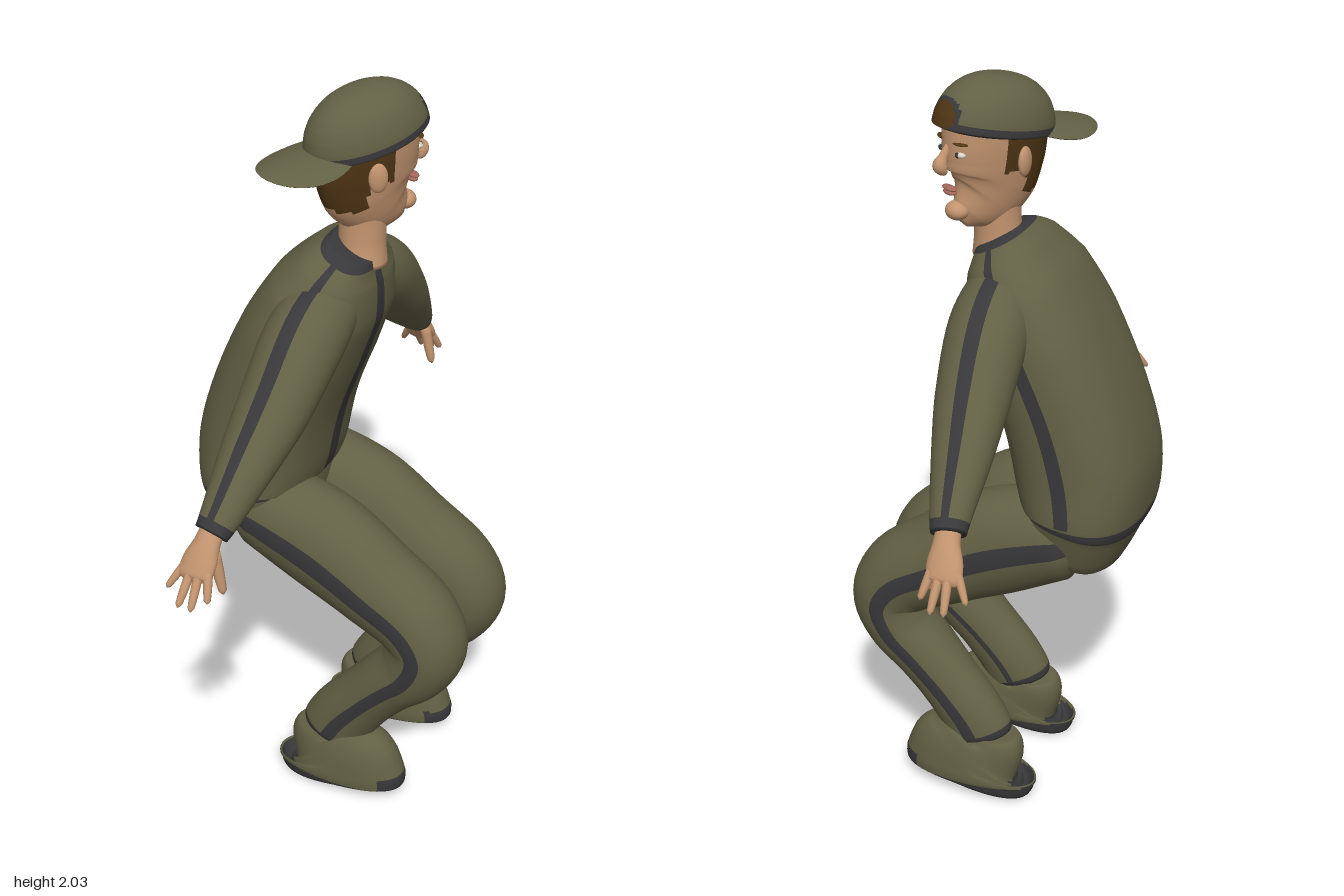
import * as THREE from 'three';

const mat = (name, color) => {
  const m = new THREE.MeshStandardMaterial({ color });
  m.name = name;
  return m;
};

export function createModel() {
  const model = new THREE.Group();
  const cloth = mat('olive cloth', 0x626044);
  const trim = mat('dark trim', 0x38383a);
  const skin = mat('skin', 0xc2946f);
  const hair = mat('brown hair', 0x503615);
  const white = mat('eye white', 0xd8d2c8);
  const lip = mat('lips', 0xa3685a);

  // Skin a tube through sections [x, y, z, ru, rv]. V follows ref, U = path x V.
  // paint(k, a, p) picks the material for a face: k is the section position, a the angle.
  function loft(name, parent, secs, o = {}) {
    const { ref = [0, 0, 1], seg = 32, per = 6, n = 2, paint = () => skin } = o;
    const path = new THREE.CatmullRomCurve3(secs.map(s => new THREE.Vector3(s[0], s[1], s[2])));
    const radii = new THREE.CatmullRomCurve3(secs.map(s => new THREE.Vector3(s[3], s[4], 0)));
    const rows = (secs.length - 1) * per, pts = [], mats = [], faces = [];
    const power = v => Math.sign(v) * Math.abs(v) ** (2 / n);
    for (let i = 0; i <= rows; i++) {
      const t = i / rows, c = path.getPoint(t), r = radii.getPoint(t), T = path.getTangent(t);
      const V = new THREE.Vector3(...ref).addScaledVector(T, -T.dot(new THREE.Vector3(...ref))).normalize();
      const U = T.clone().cross(V);
      for (let j = 0; j < seg; j++) {
        const a = j / seg * Math.PI * 2;
        pts.push(c.clone().addScaledVector(U, Math.max(r.x, 0.001) * power(Math.cos(a)))
          .addScaledVector(V, Math.max(r.y, 0.001) * power(Math.sin(a))));
      }
    }
    pts.push(path.getPoint(0), path.getPoint(1));
    const add = (m, ...ids) => {
      let q = mats.indexOf(m);
      if (q < 0) { q = mats.push(m) - 1; faces.push([]); }
      faces[q].push(...ids);
    };
    for (let i = 0; i < rows; i++) for (let j = 0; j < seg; j++) {
      const b = i * seg + j, d = i * seg + (j + 1) % seg;
      const mid = pts[b].clone().add(pts[d + seg]).multiplyScalar(0.5);
      const m = paint((i + 0.5) / per, (j + 0.5) / seg * Math.PI * 2, mid);
      add(m, b, b + seg, d, d, b + seg, d + seg);
      if (i === 0) add(m, b, d, pts.length - 2);
      if (i === rows - 1) add(m, b + seg, pts.length - 1, d + seg);
    }
    const g = new THREE.BufferGeometry().setFromPoints(pts);
    g.setIndex(faces.flat());
    let start = 0;
    faces.forEach((f, q) => { g.addGroup(start, f.length, q); start += f.length; });
    g.computeVertexNormals();
    const mesh = new THREE.Mesh(g, mats);
    mesh.name = name;
    parent.add(mesh);
    return mesh;
  }
  // Angular distance, used to place seams
  const gap = (a, b) => Math.abs(Math.atan2(Math.sin(a - b), Math.cos(a - b)));
  const H = Math.PI / 2;

  function blob(name, parent, m, [x, y, z], [rx, ry, rz]) {
    const mesh = new THREE.Mesh(new THREE.SphereGeometry(1, 20, 14), m);
    mesh.name = name;
    mesh.position.set(x, y, z);
    mesh.scale.set(rx, ry, rz);
    parent.add(mesh);
    return mesh;
  }

  // Seat and jacket, with hem, zip, side seams and collar
  loft('jacket', model, [
    [-0.19, 0.725, 0, 0.05, 0.1], [-0.215, 0.775, 0, 0.125, 0.195], [-0.232, 0.875, 0, 0.155, 0.228],
    [-0.237, 0.905, 0, 0.163, 0.235], [-0.225, 1.01, 0, 0.175, 0.228], [-0.185, 1.16, 0, 0.168, 0.225],
    [-0.115, 1.33, 0, 0.16, 0.224], [-0.052, 1.46, 0, 0.142, 0.205], [-0.012, 1.545, 0, 0.1, 0.16],
    [0.005, 1.578, 0, 0.072, 0.112], [0.012, 1.592, 0, 0.06, 0.075],
  ], {
    seg: 96, n: 2.5,
    paint: (k, a) => (k > 2.1 && k < 2.9) || k > 9 || (k > 2 && gap(a, 0) < 0.06)
      || (k > 3 && Math.min(gap(a, H), gap(a, -H)) < 0.06) ? trim : cloth,
  });

  for (const s of [1, -1]) {
    const side = s > 0 ? 'left' : 'right';

    // Bent trouser leg with outer and inner seams
    loft(side + 'Leg', model, [
      [-0.28, 0.84, 0.115, 0.06, 0.07], [-0.2, 0.825, 0.118, 0.125, 0.112], [-0.02, 0.76, 0.12, 0.148, 0.117],
      [0.13, 0.675, 0.122, 0.132, 0.115], [0.25, 0.6, 0.126, 0.118, 0.112], [0.288, 0.53, 0.13, 0.108, 0.108],
      [0.26, 0.45, 0.134, 0.1, 0.1], [0.19, 0.375, 0.138, 0.09, 0.09], [0.12, 0.295, 0.142, 0.088, 0.08],
      [0.055, 0.21, 0.145, 0.094, 0.074], [0.025, 0.155, 0.147, 0.097, 0.07], [0.018, 0.135, 0.148, 0.085, 0.06],
    ].map(([x, y, z, u, v]) => [x, y, s * z, u, v]), {
      seg: 64,
      paint: (k, a) => k > 10 || gap(a, s * H) < 0.19 || gap(a, -s * H) < 0.1 ? trim : cloth,
    });

    // Shoe with dark sole and toe cap
    loft(side + 'Shoe', model, [
      [0.05, 0, 0.158, 0.165, 0.07], [0.048, 0.012, 0.158, 0.186, 0.082], [0.047, 0.035, 0.158, 0.193, 0.086],
      [0.042, 0.065, 0.157, 0.182, 0.084], [0.025, 0.095, 0.155, 0.152, 0.079], [0.002, 0.125, 0.15, 0.112, 0.07],
      [0, 0.155, 0.148, 0.08, 0.06],
    ].map(([x, y, z, u, v]) => [x, y, s * z, u, v]), {
      seg: 48, n: 2.2,
      paint: (k, a, p) => p.y < 0.022 || (p.x > 0.18 && p.y < 0.065) ? trim : cloth,
    });

    // Sleeve with a seam along the top and a dark cuff
    loft(side + 'Sleeve', model, [
      [-0.025, 1.475, 0.07, 0.085, 0.09], [-0.032, 1.41, 0.2, 0.1, 0.102], [-0.045, 1.29, 0.335, 0.085, 0.093],
      [-0.062, 1.19, 0.445, 0.066, 0.075], [-0.08, 1.085, 0.56, 0.044, 0.05], [-0.086, 1.062, 0.585, 0.038, 0.044],
    ].map(([x, y, z, u, v]) => [x, y, s * z, u, v]), {
      ref: [1, 0, 0], seg: 64,
      paint: (k, a) => k > 4.2 || gap(a, s > 0 ? 0 : Math.PI) < 0.2 ? trim : cloth,
    });

    // Open hand with spread fingers
    const hand = new THREE.Group();
    hand.name = side + 'Hand';
    model.add(hand);
    const flip = list => list.map(([x, y, z, u, v]) => [x, y, s * z, u, v]);
    loft('palm', hand, flip([
      [-0.084, 1.08, 0.57, 0.026, 0.03], [-0.088, 1.045, 0.6, 0.025, 0.034], [-0.095, 1.005, 0.628, 0.022, 0.046],
      [-0.1, 0.975, 0.648, 0.017, 0.045], [-0.1, 0.965, 0.655, 0.006, 0.03],
    ]), { ref: [1, 0, 0], seg: 20, per: 4 });
    const fingers = [
      ['thumb', [-0.068, 1.025, 0.605], [-0.045, 0.91, 0.608], 0.014],
      ['indexFinger', [-0.066, 0.99, 0.64], [-0.05, 0.925, 0.677], 0.011],
      ['middleFinger', [-0.088, 0.985, 0.645], [-0.085, 0.905, 0.7], 0.011],
      ['ringFinger', [-0.11, 0.985, 0.645], [-0.12, 0.907, 0.7], 0.011],
      ['littleFinger', [-0.13, 0.995, 0.635], [-0.166, 0.932, 0.67], 0.01],
    ];
    for (const [name, p, q, r] of fingers) {
      const at = (f, k) => [...p.map((v, i) => v + (q[i] - v) * f), r * k, r * k];
      loft(name, hand, flip([at(0, 1.1), at(0.5, 1), at(0.9, 0.75), at(1, 0.15)]), { ref: [1, 0, 0], seg: 12, per: 3 });
    }
  }

  // Head, turned to the figure's left
  const head = new THREE.Group();
  head.name = 'head';
  head.position.set(0.018, 0, -0.022);
  head.rotation.y = 1.0;
  model.add(head);
  loft('neck', head, [[-0.005, 1.54, 0, 0.066, 0.068], [-0.002, 1.6, 0, 0.06, 0.058], [0, 1.66, 0, 0.06, 0.056],
    [0, 1.75, 0, 0.07, 0.06]]);
  loft('skull', head, [
    [0.105, 1.642, 0, 0.02, 0.014], [0.085, 1.66, 0, 0.054, 0.038], [0.045, 1.695, 0, 0.1, 0.062],
    [0.018, 1.74, 0, 0.127, 0.077], [0.009, 1.79, 0, 0.138, 0.087], [0.006, 1.84, 0, 0.142, 0.094],
    [0.004, 1.89, 0, 0.142, 0.097], [0, 1.94, 0, 0.115, 0.08], [0, 1.975, 0, 0.05, 0.035],
  ], {
    seg: 64, per: 8,
    paint: (k, a, p) => (p.x < -0.03 && p.y > 1.705) || (p.x < 0.035 && p.y > 1.775) || p.y > 1.9 ? hair : skin,
  });
  loft('nose', head, [[0.138, 1.85, 0, 0.008, 0.008], [0.156, 1.82, 0, 0.012, 0.011], [0.166, 1.8, 0, 0.019, 0.018],
    [0.158, 1.784, 0, 0.012, 0.016], [0.148, 1.778, 0, 0.003, 0.004]], { seg: 16, per: 4 });
  blob('upperLip', head, lip, [0.14, 1.738, 0], [0.013, 0.006, 0.026]);
  blob('lowerLip', head, lip, [0.139, 1.728, 0], [0.013, 0.007, 0.022]);
  blob('chin', head, skin, [0.118, 1.676, 0], [0.03, 0.024, 0.032]);
  for (const s of [1, -1]) {
    blob('eye', head, white, [0.131, 1.83, s * 0.036], [0.012, 0.008, 0.016]);
    blob('iris', head, trim, [0.139, 1.83, s * 0.035], [0.006, 0.007, 0.007]);
    blob('brow', head, hair, [0.133, 1.857, s * 0.038], [0.011, 0.004, 0.022]).rotation.y = -s * 0.3;
    blob('ear', head, skin, [-0.015, 1.8, s * 0.094], [0.024, 0.038, 0.012]).rotation.y = -s * 0.35;
  }

  // Backwards cap: dark band, front opening showing hair, curved brim behind
  const dome = [[0.012, 1.858, 0, 0.135, 0.09]];
  for (let i = 0; i <= 8; i++) {
    const a = i / 8 * H, h = 0.128 * Math.sin(a), r = Math.cos(a) ** 0.85;
    dome.push([0.01 - h * 0.2, 1.868 + h, 0, 0.165 * r, 0.113 * r]);
  }
  loft('cap', head, dome, {
    seg: 64,
    paint: (k, a, p) => {
      const hole = Math.hypot(p.z / 0.042, (p.y - 1.922) / 0.034);
      if (p.x > 0 && hole < 1) return hair;
      return k < 1.7 || (p.x > 0 && hole < 1.25) ? trim : cloth;
    },
  });
  [['brimTop', cloth, 0], ['brimUnderside', trim, H]].forEach(([name, m, start]) => {
    const g = new THREE.SphereGeometry(1, 40, 10, 0, Math.PI * 2, start, H);
    g.scale(0.125, 0.012, 0.108);
    const p = g.attributes.position;
    for (let i = 0; i < p.count; i++) {
      p.setY(i, p.getY(i) + 0.15 * p.getX(i) - 1.8 * p.getZ(i) ** 2);
    }
    g.computeVertexNormals();
    const brim = new THREE.Mesh(g, m);
    brim.name = name;
    brim.position.set(-0.155, 1.85, 0);
    head.add(brim);
  });

  return model;
}
